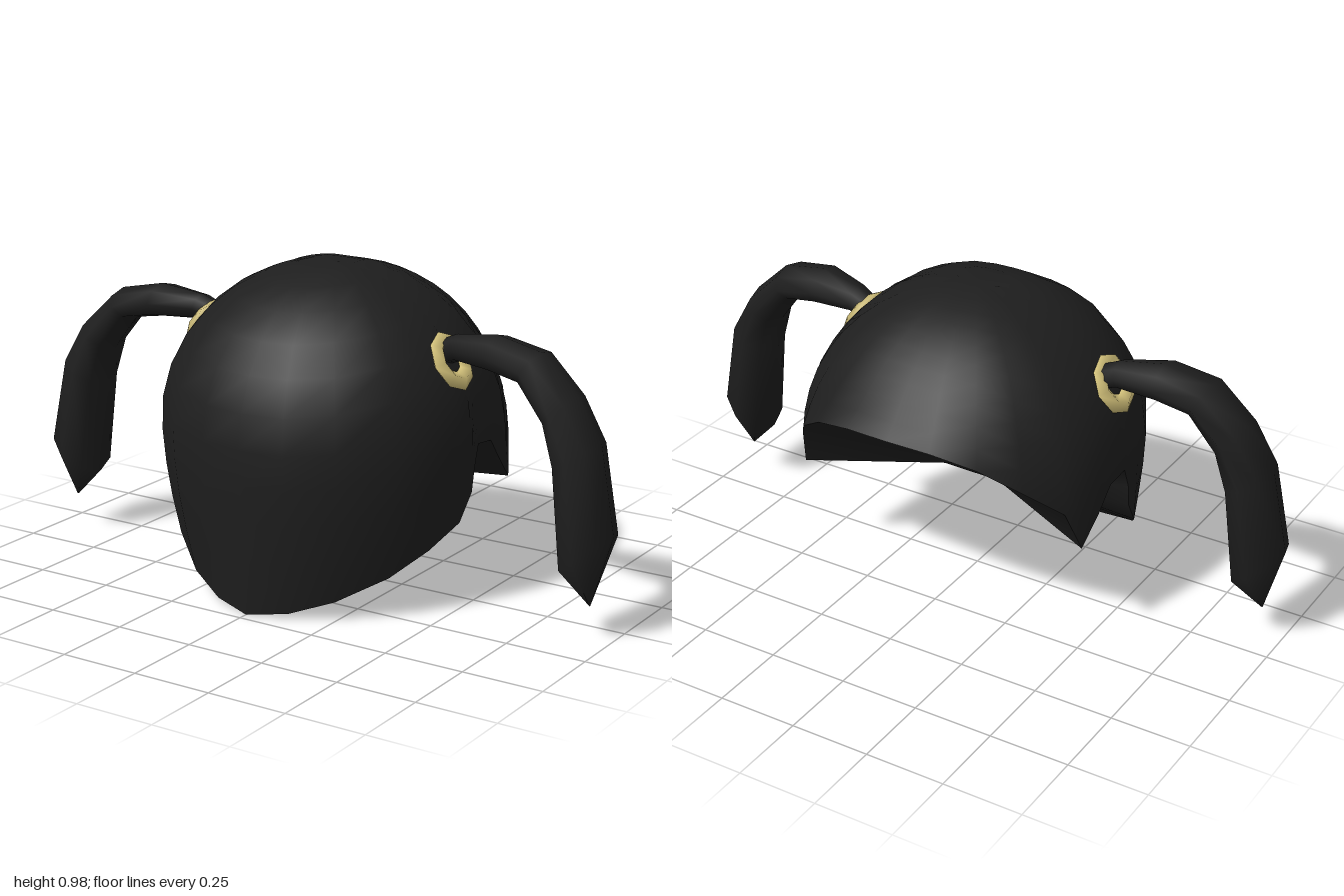
import * as THREE from 'three';

const hairMat = new THREE.MeshStandardMaterial({ color: 0x1e1e1e, side: THREE.DoubleSide });
hairMat.name = 'black hair';
const bandMat = new THREE.MeshStandardMaterial({ color: 0xd6c47c });
bandMat.name = 'gold band';

function makeGeometry(points, index) {
  const g = new THREE.BufferGeometry();
  g.setAttribute('position', new THREE.Float32BufferAttribute(points.flat(), 3));
  g.setIndex(index);
  g.computeVertexNormals();
  return g;
}

function addMesh(parent, name, geometry, material) {
  const m = new THREE.Mesh(geometry, material);
  m.name = name;
  parent.add(m);
  return m;
}

// Half of the hair's lower edge: fringe, temple, ear notch, then nape
const halfEdge = [
  [0, 0.68, -0.5], [0.14, 0.675, -0.49], [0.27, 0.64, -0.45], [0.38, 0.56, -0.375],
  [0.46, 0.46, -0.27], [0.49, 0.33, -0.22],
  [0.5, 0.41, -0.14], [0.505, 0.48, -0.08], [0.508, 0.49, 0],
  [0.51, 0.42, 0.025], [0.508, 0.35, 0.035],
  [0.5, 0.27, 0.09], [0.45, 0.2, 0.18], [0.375, 0.13, 0.28], [0.25, 0.06, 0.375],
  [0.125, 0.017, 0.435], [0, 0, 0.47],
];
const TEMPLE = 5;
const edge = [...halfEdge, ...halfEdge.slice(1, -1).reverse().map(([x, y, z]) => [-x, y, z])];
const N = edge.length;

// Domed shell: columns run from the crown down to each edge point,
// following a slightly squared dome, then a wall that curls in at the edge
function shellGeometry() {
  const rows = 11, cy = 0.48, pts = [[0, 0.975, 0]], index = [];
  const id = (i, j) => (i === 0 ? 0 : 1 + (i - 1) * N + (j % N));
  for (let i = 1; i <= rows; i++) {
    const t = i / rows;
    for (const [x, y, z] of edge) {
      const h = Math.hypot(x, z), end = Math.atan2(h, y - cy), a = end * t;
      const square = 0.007 * (x / h) ** 2 + 0.02 * (2 * x * z / (h * h)) ** 2;
      const wall = (q) => (0.503 + square * Math.sin(q)) / (q > Math.PI / 2 ? Math.sin(q) : 1);
      const r = wall(a) + (Math.hypot(h, y - cy) - wall(end)) * t ** 7;
      pts.push([(x / h) * r * Math.sin(a), cy + r * Math.cos(a), (z / h) * r * Math.sin(a)]);
    }
  }
  for (let i = 0; i < rows; i++) for (let j = 0; j < N; j++) {
    const a = id(i, j), b = id(i, j + 1), c = id(i + 1, j + 1), d = id(i + 1, j);
    index.push(a, c, d);
    if (i > 0) index.push(a, b, c);
  }
  return makeGeometry(pts, index);
}

// Hollow underside: a fan from a point inside the head to a run of the edge
function fanGeometry(from, to) {
  const pts = [[0, 0.357, 0]], index = [];
  for (let j = from; j <= to; j++) pts.push(edge[(j + N) % N]);
  for (let k = 1; k < pts.length - 1; k++) index.push(0, k, k + 1);
  return makeGeometry(pts, index);
}

// Pigtail rings: outer x, y, inner x, y, centre z, half depth
const tailRings = [
  [0.40, 0.80, 0.43, 0.73, 0.04, 0.04],
  [0.46, 0.825, 0.47, 0.745, 0.048, 0.052],
  [0.60, 0.845, 0.60, 0.74, 0.065, 0.085],
  [0.75, 0.815, 0.70, 0.725, 0.074, 0.095],
  [0.87, 0.705, 0.78, 0.62, 0.082, 0.096],
  [0.95, 0.58, 0.81, 0.50, 0.087, 0.097],
  [1.0, 0.32, 0.845, 0.20, 0.095, 0.107],
  [0.937, 0.105, 0.937, 0.105, 0.103, 0.004],
];

function tailGeometry(side) {
  const sides = 8, pts = [], index = [];
  const shift = side > 0 ? 0 : -0.012;
  for (const [ox, oy, ix, iy, z, rz] of tailRings) {
    for (let k = 0; k < sides; k++) {
      const a = (k / sides) * Math.PI * 2, c = Math.cos(a) / 2;
      pts.push([
        side * ((ox + ix) / 2 + c * (ox - ix)),
        (oy + iy) / 2 + c * (oy - iy),
        z + shift + Math.sin(a) * rz,
      ]);
    }
  }
  for (let i = 0; i < tailRings.length - 1; i++) for (let k = 0; k < sides; k++) {
    const k2 = (k + 1) % sides;
    const a = i * sides + k, b = i * sides + k2, c = b + sides, d = a + sides;
    if (side > 0) index.push(a, b, c, a, c, d);
    else index.push(a, c, b, a, d, c);
  }
  return makeGeometry(pts, index);
}

export function createModel() {
  const model = new THREE.Group();
  model.name = 'pigtailWig';

  addMesh(model, 'hairShell', shellGeometry(), hairMat);
  addMesh(model, 'faceHollow', fanGeometry(-TEMPLE, TEMPLE), hairMat);
  addMesh(model, 'napeHollow', fanGeometry(TEMPLE, N - TEMPLE), hairMat);

  for (const side of [1, -1]) {
    const name = side > 0 ? 'left' : 'right';
    addMesh(model, name + 'Pigtail', tailGeometry(side), hairMat);

    // Flattened hair tie, tilted to lie against the head
    const tie = new THREE.TorusGeometry(0.064, 0.03, 4, 8).scale(1, 1, 0.7);
    const band = addMesh(model, name + 'HairBand', tie, bandMat);
    band.position.set(side * 0.44, 0.74, 0.045);
    band.rotation.set(0, side * Math.PI / 2, side * 0.535, 'ZYX');
  }
  return model;
}
